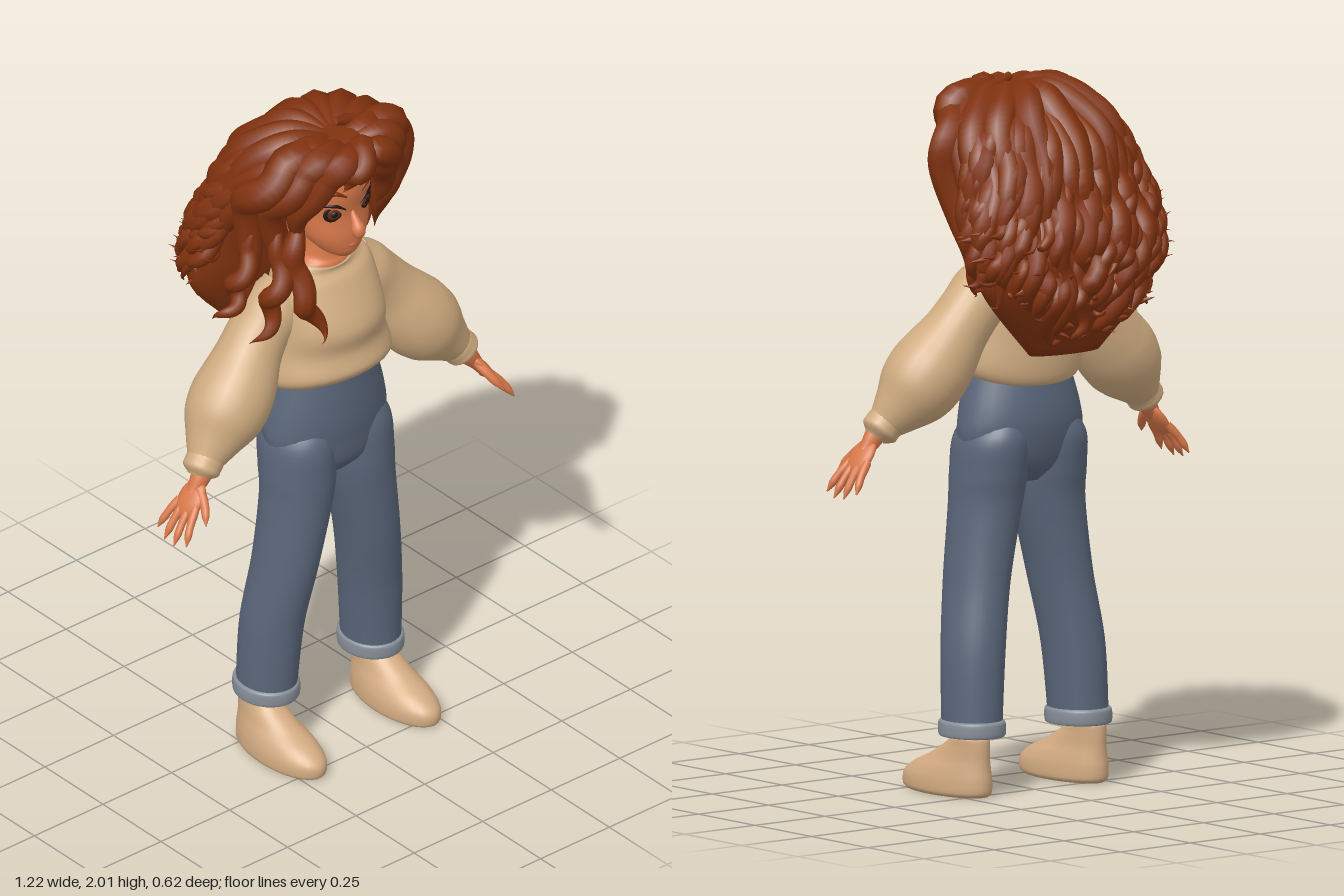
import * as THREE from 'three';
import { mergeVertices, mergeGeometries } from 'three/addons/utils/BufferGeometryUtils.js';

const mat = (name, color) => Object.assign(new THREE.MeshStandardMaterial({ color }), { name });
const V = (p) => new THREE.Vector3(...p);
const toCurve = (points) => new THREE.CatmullRomCurve3(points.map((p) => (p.isVector3 ? p : V(p))));

let seed = 7;
const rand = (a, b) => {
  seed = (seed * 16807) % 2147483647;
  return a + (b - a) * (seed / 2147483647);
};

// Catmull-Rom through rows of numbers, t from 0 to 1
function spline(rows, t) {
  const n = rows.length - 1, f = Math.min(t, 0.99999) * n, i = Math.floor(f), u = f - i;
  const row = (k) => rows[Math.max(0, Math.min(n, k))];
  const [a, b, c, d] = [row(i - 1), row(i), row(i + 1), row(i + 2)];
  return b.map((q, k) => q + 0.5 * u * (c[k] - a[k] + u * (2 * a[k] - 5 * q + 4 * c[k] - d[k]
    + u * (3 * (q - c[k]) + d[k] - a[k]))));
}

// Closed body through rings [y, half width, front z, back z, centre x], from bottom to top
function loft(rings, { x = 0, side = 1, seg = 32, steps = 40, warp } = {}) {
  const pos = [], index = [];
  for (let i = -1; i <= steps + 1; i++) {
    const [y, rx, zf, zb, cx = 0] = spline(rings, Math.max(0, Math.min(1, i / steps)));
    const k = i < 0 || i > steps ? 0.001 : 1;
    for (let j = 0; j < seg; j++) {
      const a = (j / seg) * Math.PI * 2;
      const v = V([(x + cx) * side + k * rx * Math.sin(a), y, (zf + zb) / 2 + k * (zf - zb) / 2 * Math.cos(a)]);
      if (warp) warp(v);
      pos.push(v.x, v.y, v.z);
    }
  }
  for (let i = 0; i < steps + 2; i++) for (let j = 0; j < seg; j++) {
    const a = i * seg + j, b = i * seg + (j + 1) % seg;
    index.push(a, b, b + seg, a, b + seg, a + seg);
  }
  const g = new THREE.BufferGeometry();
  g.setAttribute('position', new THREE.Float32BufferAttribute(pos, 3));
  g.setIndex(index);
  g.computeVertexNormals();
  return g;
}

// Tube along points whose radius follows a list
function sweep(points, radii, steps = 24, seg = 12) {
  const curve = toCurve(points), rows = radii.map((r) => [r]);
  let g = new THREE.TubeGeometry(curve, steps, 1, seg);
  const p = g.attributes.position, v = new THREE.Vector3();
  for (let i = 0; i <= steps; i++) {
    const c = curve.getPointAt(i / steps), [r] = spline(rows, i / steps);
    for (let j = 0; j <= seg; j++) {
      const k = i * (seg + 1) + j;
      v.fromBufferAttribute(p, k).sub(c).multiplyScalar(Math.max(r, 0.0005)).add(c);
      p.setXYZ(k, v.x, v.y, v.z);
    }
  }
  g.deleteAttribute('uv');
  g.deleteAttribute('normal');
  g = mergeVertices(g, 1e-5);
  g.computeVertexNormals();
  return g;
}

// Hair volume, same ring layout as loft
const hairRings = [
  [1.25, 0.12, -0.09, -0.17], [1.42, 0.28, -0.04, -0.25], [1.52, 0.31, -0.01, -0.265],
  [1.62, 0.295, 0.01, -0.245], [1.8, 0.25, 0.07, -0.175], [1.86, 0.225, 0.12, -0.145],
  [1.9, 0.2, 0.2, -0.12], [1.95, 0.14, 0.22, -0.06], [1.98, 0.06, 0.16, 0.03]];

// Point on the hair volume at angle a (0 is the front) and height y, pushed outwards
function hairPoint(a, y, out) {
  let i = 0;
  while (i < hairRings.length - 2 && hairRings[i + 1][0] < y) i++;
  const A = hairRings[i], B = hairRings[i + 1], u = Math.max(0, (y - A[0]) / (B[0] - A[0]));
  const [, rx, zf, zb] = A.map((q, k) => q + (B[k] - q) * u);
  return V([(rx + out) * Math.sin(a), y, (zf + zb) / 2 + ((zf - zb) / 2 + out) * Math.cos(a)]);
}

// Lock of hair that curls more towards its tip
function lock(points, r, curl, turns, phase) {
  const path = toCurve(points), pts = [];
  for (let i = 0; i <= 26; i++) {
    const u = i / 26, a = phase + u * turns * Math.PI * 2, c = curl * Math.min(1, u * 1.6);
    pts.push(path.getPoint(u).add(V([c * Math.cos(a), c * 0.4 * Math.sin(a * 1.3), c * Math.sin(a)])));
  }
  return sweep(pts, [r * 0.5, r, r, r * 0.9, r * 0.65, 0], 40, 8);
}

export function createModel() {
  const model = new THREE.Group();
  const hair = mat('auburn hair', 0x80320f), skin = mat('warm skin', 0xd9794a);
  const knit = mat('tan knit', 0xcfab80), shoeTan = mat('shoe tan', 0xd3ab82);
  const denim = mat('blue denim', 0x5a6679), cuffGrey = mat('faded denim', 0x858d97);
  const dark = mat('eye dark', 0x24150d), brown = mat('iris brown', 0x5a3018), lip = mat('lip', 0xbd5f40);
  const add = (name, g, m, parent = model) => {
    const mesh = new THREE.Mesh(g, m);
    mesh.name = name;
    parent.add(mesh);
    return mesh;
  };
  const blob = (name, m, p, s, parent = model) => {
    const b = add(name, new THREE.SphereGeometry(1, 20, 14), m, parent);
    b.position.set(...p);
    b.scale.set(...s);
    return b;
  };

  // Head, neck and face
  add('head', loft([[1.595, 0.03, 0.175, 0.1], [1.62, 0.064, 0.19, 0.06], [1.67, 0.1, 0.195, 0.02],
    [1.74, 0.118, 0.19, -0.02], [1.82, 0.12, 0.2, -0.04], [1.9, 0.1, 0.185, -0.03], [1.95, 0.05, 0.14, 0.02]]), skin);
  add('neck', loft([[1.48, 0.09, 0.13, 0], [1.54, 0.085, 0.125, 0], [1.57, 0.06, 0.115, 0.01],
    [1.66, 0.05, 0.11, 0.01]]), skin);
  add('nose', sweep([[0, 1.75, 0.185], [0, 1.692, 0.216], [0, 1.678, 0.195]], [0.006, 0.013, 0.02, 0.008]), skin);
  add('mouth', sweep([[-0.028, 1.645, 0.183], [0, 1.64, 0.194], [0.028, 1.645, 0.183]], [0.001, 0.006, 0.001]), lip);

  // Torso: the hem dips at the back, the neckline dips at the front
  add('sweaterBody', loft([[1.175, 0.16, 0.19, -0.04], [1.185, 0.185, 0.215, -0.06], [1.22, 0.2, 0.23, -0.07],
    [1.3, 0.185, 0.215, -0.07], [1.38, 0.175, 0.222, -0.07], [1.5, 0.165, 0.155, -0.055],
    [1.535, 0.13, 0.13, -0.035], [1.56, 0.088, 0.13, -0.01], [1.545, 0.075, 0.115, 0]], {
    steps: 54,
    warp: (v) => {
      if (v.y < 1.3) v.y += (v.z - 0.08) * 2 * (1.3 - v.y);
      if (v.y > 1.5) v.y -= (v.z - 0.06) * 5 * (v.y - 1.5);
    } }), knit);
  add('jeansHips', loft([[0.87, 0.09, 0.14, 0.01], [0.92, 0.17, 0.18, -0.035], [1, 0.2, 0.192, -0.058],
    [1.08, 0.19, 0.198, -0.062], [1.215, 0.15, 0.195, -0.04]]), denim);

  for (const s of [1, -1]) {
    const S = (pts) => pts.map(([x, y, z]) => [x * s, y, z]);

    // Eye, brow and ear
    [dark, brown, dark].forEach((m, i) => {
      const r = 0.03 - i * 0.0095;
      const e = blob(['eye', 'iris', 'pupil'][i], m, [0.058 * s, 1.755, 0.174 + i * 0.003], [r, r * 0.9, 0.006]);
      e.rotation.y = 0.34 * s;
    });
    add('lash', sweep(S([[0.026, 1.764, 0.191], [0.055, 1.783, 0.183], [0.1, 1.784, 0.15]]), [0.002, 0.006, 0.001]), dark);
    add('brow', sweep(S([[0.026, 1.808, 0.196], [0.06, 1.826, 0.184], [0.092, 1.812, 0.159]]), [0.003, 0.007, 0.002]), hair);
    blob('ear', skin, [0.118 * s, 1.695, 0.075], [0.016, 0.036, 0.024]);

    // Balloon sleeve and cuff
    add('sleeve', sweep(S([[0.11, 1.47, 0.035], [0.22, 1.35, 0.035], [0.31, 1.23, 0.055], [0.385, 1.145, 0.07],
      [0.475, 1.05, 0.1]]), [0.07, 0.088, 0.088, 0.093, 0.108, 0.117, 0.108, 0.075, 0.045], 40, 24), knit);
    add('sleeveCuff', sweep(S([[0.44, 1.085, 0.092], [0.465, 1.06, 0.096], [0.49, 1.029, 0.102]]),
      [0.05, 0.054, 0.054, 0.052, 0.03], 20, 20), knit);

    // Hand, built hanging down and then swung outwards
    const hand = new THREE.Group();
    hand.name = 'hand';
    hand.position.set(0.475 * s, 1.045, 0.107);
    hand.rotation.z = 0.65 * s;
    model.add(hand);
    add('wrist', sweep([[0, 0.02, 0], [0, -0.07, 0.005]], [0.032, 0.028, 0.02]), skin, hand);
    blob('palm', skin, [0, -0.085, 0.008], [0.018, 0.06, 0.045], hand);
    for (let f = 0; f < 4; f++) {
      const z = 0.04 - f * 0.023, z2 = 0.072 - f * 0.042, len = 0.095 - 0.009 * (f - 1.4) ** 2;
      add('finger', sweep([[0, -0.1, z], [0.003 * s, -0.13 - len * 0.3, (z + z2) / 2], [-0.003 * s, -0.13 - len, z2]],
        [0.012, 0.0125, 0.011, 0.0105, 0.002], 16, 10), skin, hand);
    }
    add('thumb', sweep([[0, -0.05, 0.02], [-0.008 * s, -0.085, 0.06], [-0.014 * s, -0.13, 0.092]],
      [0.016, 0.015, 0.013, 0.011, 0.002], 16, 10), skin, hand);

    // Trouser leg with turn-up
    add('trouserLeg', loft([[0.19, 0.08, 0.135, -0.05, 0.19], [0.4, 0.086, 0.15, -0.045, 0.178],
      [0.6, 0.088, 0.178, -0.03, 0.147], [0.8, 0.1, 0.19, -0.03, 0.113], [0.9, 0.104, 0.193, -0.045, 0.105],
      [1, 0.097, 0.188, -0.055, 0.1], [1.08, 0.06, 0.15, -0.02, 0.08]], { side: s }), denim);
    add('turnUp', loft([[0.185, 0.07, 0.12, -0.04], [0.168, 0.083, 0.137, -0.053], [0.175, 0.089, 0.144, -0.06],
      [0.205, 0.088, 0.144, -0.06], [0.213, 0.08, 0.134, -0.052]], { x: 0.19 * s }), cuffGrey);

    // Ankle and slip-on shoe
    add('ankle', loft([[0.1, 0.038, 0.08, -0.01], [0.22, 0.036, 0.08, -0.01]], { x: 0.203 * s }), skin);
    add('shoe', loft([[0, 0.07, 0.285, -0.03], [0.012, 0.079, 0.3, -0.043], [0.045, 0.078, 0.297, -0.045],
      [0.075, 0.07, 0.258, -0.042], [0.105, 0.058, 0.19, -0.04], [0.14, 0.05, 0.125, -0.04],
      [0.165, 0.046, 0.085, -0.036], [0.15, 0.034, 0.07, -0.02]], { x: 0.208 * s }), shoeTan);
  }

  // Hair: inner volume with locks draped over it
  add('hairVolume', loft(hairRings, { seg: 40 }), hair);
  const locks = [];
  const drape = (a, y0, y1, r, curl) => {
    const pts = [], drift = rand(-0.18, 0.18);
    for (let k = 0; k <= 6; k++) pts.push(hairPoint(a + drift * k / 6, y0 + (y1 - y0) * k / 6, k * 0.002));
    pts.push(hairPoint(a + drift, y1 + 0.005, 0.045));
    locks.push(lock(pts, r, curl, (y0 - y1) * rand(5, 7.5), rand(0, 6.28)));
  };
  const endY = (a) => 1.27 + 0.17 * Math.sin(a) ** 2;
  for (let i = 0; i < 100; i++) {
    const long = i % 3 === 0, a = 1.38 + (i / 99) * (Math.PI * 2 - 2.76);
    const y1 = endY(a) + rand(0, long ? 0.14 : 0.3);
    drape(a, long ? 1.955 : y1 + rand(0.16, 0.3), y1, long ? rand(0.03, 0.04) : rand(0.021, 0.029), long ? 0.016 : 0.022);
  }
  // Broad locks combed back over the crown
  for (let i = 0; i < 9; i++) {
    const a = 1.2 + i * 0.485, down = [1.95, 1.88, 1.76, 1.6].map((y) => hairPoint(a, y, y > 1.9 ? -0.02 : 0));
    locks.push(lock([[0, 1.945, 0.12], ...down], 0.05, 0.01, 1.5, i));
  }
  // Fringe and temple locks on both sides of the parting
  for (const s of [1, -1]) for (let i = 0; i < 3; i++) {
    const spread = i * 0.055, back = i * 0.05, r = 0.042 + i * 0.004;
    locks.push(lock([[0.02, 1.945, 0.16 - back / 2], [s * (0.055 + spread), 1.945, 0.225 - back],
      [s * (0.115 + spread), 1.89, 0.2 - back], [s * (0.15 + spread), 1.79, 0.15 - back],
      [s * (0.16 + spread), 1.66 - i * 0.09, (s > 0 ? 0.09 : 0.14) - back]], r, 0.008 + i * 0.005, 2.2, i + s));
  }
  // Forehead tuft and loose curls falling over one shoulder
  [[0.04, 0.006, [[0.05, 1.95, 0.17], [0, 1.955, 0.23], [-0.03, 1.92, 0.252], [-0.08, 1.87, 0.235]]],
    [0.036, 0.018, [[-0.15, 1.74, 0.13], [-0.18, 1.6, 0.15], [-0.15, 1.48, 0.19], [-0.12, 1.37, 0.2]]],
    [0.032, 0.02, [[-0.2, 1.72, 0.1], [-0.22, 1.55, 0.13], [-0.28, 1.38, 0.1]]],
    [0.028, 0.02, [[-0.26, 1.72, 0.06], [-0.3, 1.57, 0.06], [-0.36, 1.46, 0.04]]],
  ].forEach(([r, curl, pts], i) => locks.push(lock(pts, r, curl, 2.2, i)));
  add('hairLocks', mergeGeometries(locks), hair);
  return model;
}
